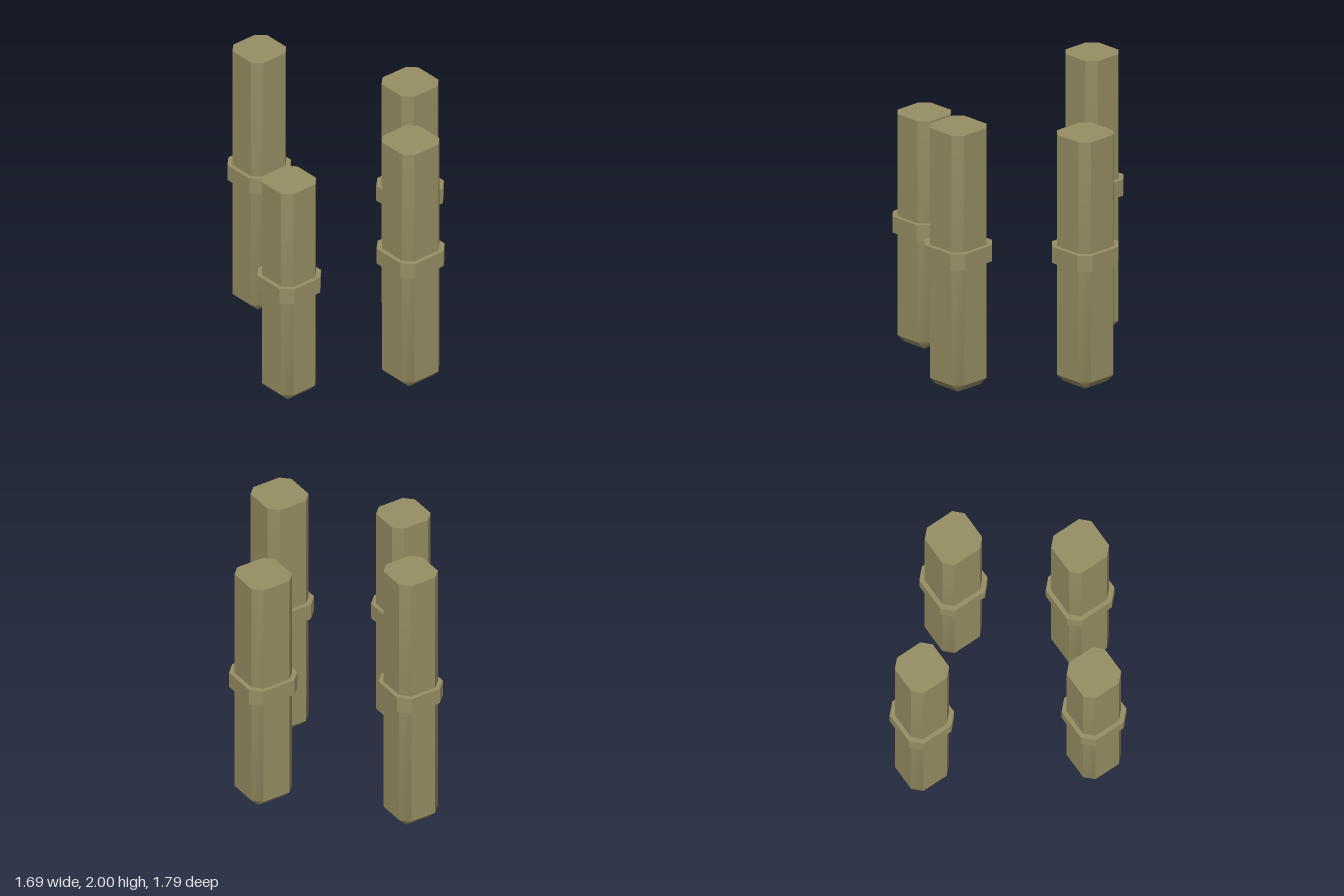
import * as THREE from 'three';
import { toCreasedNormals } from 'three/addons/utils/BufferGeometryUtils.js';

// Square of half-width h with corners cut by c, at height y
function octagon(h, c, y) {
  const pts = [];
  let pair = [[h - c, h], [h, h - c]];
  for (let q = 0; q < 4; q++) {
    pair.forEach(([x, z]) => pts.push(new THREE.Vector3(x, y, z)));
    pair = pair.map(([x, z]) => [z, -x]);
  }
  return pts;
}

// Closed solid through a stack of cross-sections, bottom to top
function loft(sections) {
  const pos = [];
  const tri = (a, b, c) => {
    if (a.distanceTo(b) < 1e-6 || b.distanceTo(c) < 1e-6 || a.distanceTo(c) < 1e-6) return;
    [a, b, c].forEach((p) => pos.push(p.x, p.y, p.z));
  };
  const first = sections[0];
  const last = sections[sections.length - 1];
  const bottom = new THREE.Vector3(0, first[0].y, 0);
  const top = new THREE.Vector3(0, last[0].y, 0);
  for (let i = 0; i < 8; i++) {
    const j = (i + 1) % 8;
    for (let s = 0; s < sections.length - 1; s++) {
      const lo = sections[s];
      const hi = sections[s + 1];
      tri(lo[i], lo[j], hi[j]);
      tri(lo[i], hi[j], hi[i]);
    }
    tri(bottom, first[j], first[i]);
    tri(top, last[i], last[j]);
  }
  const geo = new THREE.BufferGeometry();
  geo.setAttribute('position', new THREE.Float32BufferAttribute(pos, 3));
  return toCreasedNormals(geo, 0.68);
}

export function createModel() {
  const model = new THREE.Group();
  model.name = 'posts';
  const wood = new THREE.MeshStandardMaterial({ color: 0x978e63 });
  wood.name = 'olive wood';

  const posts = [
    { name: 'backPost', x: -0.06, z: -0.71, width: 0.314, height: 2.0, collarY: 1.033 },
    { name: 'leftPost', x: 0.645, z: 0.042, width: 0.33, height: 1.805, collarY: 0.936 },
    { name: 'frontPost', x: 0.084, z: 0.7, width: 0.332, height: 1.876, collarY: 0.97 },
    { name: 'rightPost', x: -0.658, z: 0.298, width: 0.315, height: 1.668, collarY: 0.868 },
  ];

  for (const p of posts) {
    const group = new THREE.Group();
    group.name = p.name;
    group.position.set(p.x, 0, p.z);
    const h = p.width / 2;
    const c = 0.06;

    // Shaft with bevelled edges and foot, flat top
    const shaft = new THREE.Mesh(
      loft([octagon(h - c, 0, 0), octagon(h, c, c), octagon(h, c, p.height)]), wood);
    shaft.name = 'shaft';

    // Band around the middle
    const ch = h * 1.19;
    const cc = 0.072;
    const collar = new THREE.Mesh(
      loft([octagon(ch, cc, p.collarY - 0.059), octagon(ch, cc, p.collarY + 0.059)]), wood);
    collar.name = 'collar';

    group.add(shaft, collar);
    model.add(group);
  }
  return model;
}
